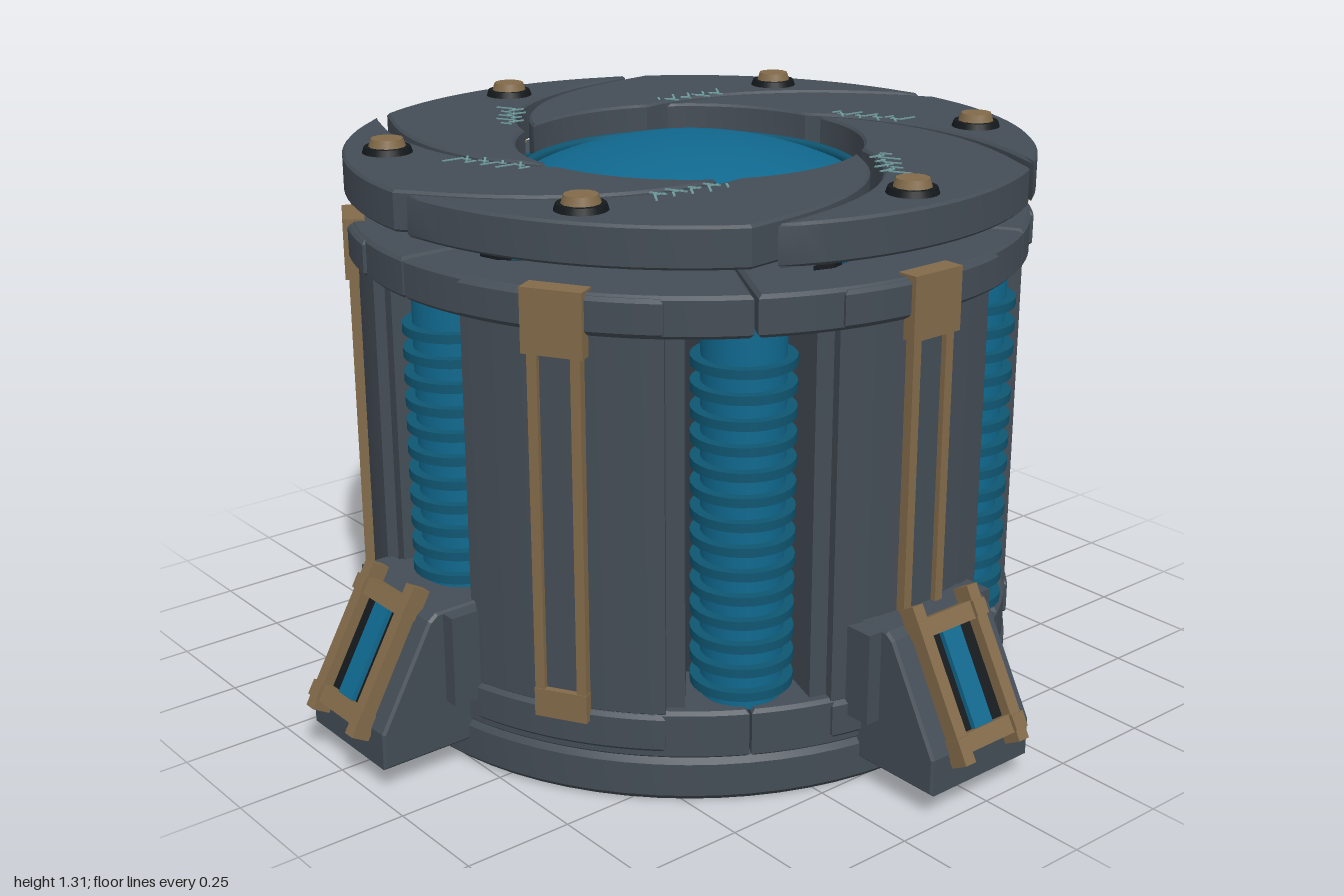
import * as THREE from 'three';
import { toCreasedNormals } from 'three/addons/utils/BufferGeometryUtils.js';

const mat = (name, color, side = THREE.FrontSide) => {
  const m = new THREE.MeshStandardMaterial({ color, side });
  m.name = name;
  return m;
};
const RAD = Math.PI / 180;

export function createModel() {
  const root = new THREE.Group();
  root.name = 'reactorDrum';
  const steel = mat('gunmetal', 0x444d56);
  const darkSteel = mat('dark steel', 0x2f363d);
  const black = mat('near black', 0x14191c);
  const bronze = mat('bronze', 0x826a49);
  const blue = mat('blue glow', 0x10688e);
  const teal = mat('deep teal', 0x0f5672);
  const pale = mat('pale teal', 0x6f9c9e);

  const add = (parent, name, geo, material, x = 0, y = 0, z = 0) => {
    const m = new THREE.Mesh(geo, material);
    m.name = name;
    m.position.set(x, y, z);
    parent.add(m);
    return m;
  };
  const box = (p, name, w, h, d, material, x, y, z) =>
    add(p, name, new THREE.BoxGeometry(w, h, d), material, x, y, z);
  const group = (name, angle) => {
    const g = new THREE.Group();
    g.name = name;
    g.rotation.y = angle * RAD;
    root.add(g);
    return g;
  };

  // Plan outline raised from y0 to y1 with a small chamfer
  const raise = (shape, y0, y1, bevel = 0.008) => {
    const geo = new THREE.ExtrudeGeometry(shape, {
      depth: y1 - y0 - 2 * bevel, curveSegments: 14, bevelEnabled: true,
      bevelThickness: bevel, bevelSize: bevel, bevelOffset: -bevel, bevelSegments: 1,
    });
    geo.rotateX(-Math.PI / 2);
    geo.translate(0, y0 + bevel, 0);
    return toCreasedNormals(geo, 0.4);
  };
  const sector = (r0, r1, a0, a1, y0, y1, bevel) => {
    const s = new THREE.Shape();
    s.absarc(0, 0, r1, a0 * RAD, a1 * RAD, false);
    s.absarc(0, 0, r0, a1 * RAD, a0 * RAD, true);
    s.closePath();
    return raise(s, y0, y1, bevel);
  };

  // Base and inner drum
  const basePts = [[0, 0], [0.76, 0], [0.775, 0.015], [0.775, 0.09], [0.765, 0.105], [0, 0.105]];
  const baseGeo = new THREE.LatheGeometry(basePts.map(p => new THREE.Vector2(...p)), 72);
  add(root, 'base', toCreasedNormals(baseGeo, 0.4), steel);
  add(root, 'innerDrum', new THREE.CylinderGeometry(0.58, 0.58, 1.02, 48), darkSteel, 0, 0.61, 0);
  add(root, 'lidNeck', new THREE.CylinderGeometry(0.43, 0.43, 0.08, 48), black, 0, 1.155, 0);
  add(root, 'neckBand', new THREE.CylinderGeometry(0.434, 0.434, 0.015, 48), teal, 0, 1.168, 0);

  for (let k = 0; k < 6; k++) {
    const a = k * 60;
    // Wall panel, its recessed jambs, and the rings above and below
    add(root, 'wallPanel', sector(0.56, 0.77, a - 16.5, a + 16.5, 0.2, 1.06), steel);
    add(root, 'slotJambs', sector(0.56, 0.745, a - 19.5, a + 19.5, 0.2, 1.06), steel);
    add(root, 'lowerRing', sector(0.5, 0.77, a - 29.8, a + 29.8, 0.1, 0.212), steel);
    add(root, 'lowerRingPad', sector(0.6, 0.778, a - 16.5, a + 16.5, 0.12, 0.205), steel);
    add(root, 'upperRing', sector(0.4, 0.782, a - 29.7, a + 29.7, 1.045, 1.135), steel);
    add(root, 'upperRingPad', sector(0.6, 0.79, a - 16.5, a + 16.5, 1.05, 1.13), steel);

    // Bronze strip on the panel
    const strip = group('bronzeStrip', a + 90);
    box(strip, 'stripTop', 0.136, 0.14, 0.05, bronze, 0, 1.07, 0.773);
    box(strip, 'stripBottom', 0.12, 0.065, 0.05, bronze, 0, 0.215, 0.767);
    box(strip, 'stripInset', 0.075, 0.76, 0.03, steel, 0, 0.62, 0.762);
    for (const s of [-1, 1]) box(strip, 'stripRail', 0.022, 0.76, 0.04, bronze, s * 0.048, 0.62, 0.77);

    // Finned coil in the slot
    const coil = group('coil', a);
    add(coil, 'coilCore', new THREE.CylinderGeometry(0.09, 0.09, 0.85, 28), blue, 0, 0.63, 0.66);
    for (let i = 0; i < 14; i++)
      add(coil, 'coilFin', new THREE.CylinderGeometry(0.112, 0.112, 0.02, 28), teal, 0, 0.245 + i * 0.0555, 0.66);
  }

  // Lid blades separated by spiral gaps
  const R0 = 0.4, R1 = 0.79;
  const swirl = r => (31 + 61 * Math.pow(Math.max(0, (R1 - r) / (R1 - R0)), 1.15)) * RAD;
  const at = (r, t) => new THREE.Vector2(r * Math.cos(t), r * Math.sin(t));
  const N = 12, radii = Array.from({ length: N + 1 }, (_, i) => R0 + (R1 - R0) * i / N);
  const half = r => 0.026 / r;
  const blade = new THREE.Shape();
  const edgeA = r => swirl(r) + half(r), edgeB = r => swirl(r) + 60 * RAD - half(r);
  const pts = radii.map(r => at(r, edgeA(r)));
  for (let i = 1; i < 16; i++) pts.push(at(R1, THREE.MathUtils.lerp(edgeA(R1), edgeB(R1), i / 16)));
  for (const r of [...radii].reverse()) pts.push(at(r, edgeB(r)));
  for (let i = 1; i < 16; i++) pts.push(at(R0, THREE.MathUtils.lerp(edgeB(R0), edgeA(R0), i / 16)));
  blade.setFromPoints(pts);
  const bladeGeo = raise(blade, 1.19, 1.28, 0.006);

  // Short plate that follows part of a spiral gap
  const dash = (ra, rb) => {
    const out = [], w = r => 0.024 / r;
    for (let i = 0; i <= 4; i++) { const r = ra + (rb - ra) * i / 4; out.push(at(r, swirl(r) + w(r))); }
    for (let i = 4; i >= 0; i--) { const r = ra + (rb - ra) * i / 4; out.push(at(r, swirl(r) - w(r))); }
    return raise(new THREE.Shape(out), 1.15, 1.16, 0.001);
  };
  const dashes = [];
  for (let i = 0; i < 5; i++) {
    const r = 0.44 + i * 0.053;
    dashes.push([dash(r, r + 0.026), teal], [dash(r + 0.026, r + 0.04), black]);
  }

  for (let k = 0; k < 6; k++) {
    const sec = group('lidSector', k * 60);
    add(sec, 'lidBlade', bladeGeo, steel);
    dashes.forEach(([g, m]) => add(sec, 'gapVane', g, m));
    // Bolt with washer
    const b = at(0.69, 2 * RAD);
    add(sec, 'boltWasher', new THREE.CylinderGeometry(0.052, 0.058, 0.018, 24), black, b.x, 1.285, -b.y);
    add(sec, 'boltHead', new THREE.CylinderGeometry(0.036, 0.044, 0.024, 12), bronze, b.x, 1.3, -b.y);
    // Fine branching scratches beside the rim
    const marks = new THREE.Group();
    marks.name = 'scratchMarks';
    const c = at(0.5, 20 * RAD);
    marks.position.set(c.x, 1.281, -c.y);
    marks.rotation.y = -35 * RAD;
    sec.add(marks);
    for (let i = 0; i < 9; i++) {
      const x = -0.09 + i * 0.0225, s = i % 2 ? 1 : -1;
      const m = box(marks, 'scratch', 0.005, 0.003, 0.028 + 0.012 * (i % 3), pale, x, 0, s * 0.012);
      m.rotation.y = s * 0.5;
      if (i % 2) box(marks, 'scratchLink', 0.026, 0.003, 0.004, pale, x, 0, s * 0.006);
    }
  }

  // Glowing dome and its rim
  const domeR = 0.892;
  add(root, 'dome', new THREE.SphereGeometry(domeR, 48, 12, 0, Math.PI * 2, 0, 0.44), blue, 0, 1.285 - domeR, 0);
  const rim = add(root, 'domeRim', new THREE.TorusGeometry(0.388, 0.013, 8, 64), teal, 0, 1.205, 0);
  rim.rotation.x = Math.PI / 2;

  // Four wedge feet with framed light bars
  const profile = new THREE.Shape([[0.7, 0.055], [0.978, 0.055], [0.978, 0.14], [0.85, 0.37], [0.83, 0.385], [0.7, 0.385]]
    .map(p => new THREE.Vector2(...p)));
  const footGeo = new THREE.ExtrudeGeometry(profile, {
    depth: 0.288, bevelEnabled: true, bevelThickness: 0.006, bevelSize: 0.006, bevelOffset: -0.006, bevelSegments: 1,
  });
  footGeo.translate(0, 0, -0.144);
  footGeo.rotateY(-Math.PI / 2);
  for (let k = 0; k < 4; k++) {
    const foot = group('foot', k * 90);
    add(foot, 'footWedge', footGeo, steel);
    for (const s of [-1, 1]) box(foot, 'footSidePlate', 0.04, 0.21, 0.08, steel, s * 0.165, 0.275, 0.775);
    const frame = new THREE.Group();
    frame.name = 'lightFrame';
    frame.position.set(0, 0.262, 0.912);
    frame.rotation.x = -29.5 * RAD;
    foot.add(frame);
    box(frame, 'framePanel', 0.15, 0.25, 0.008, black, 0, 0, 0.003);
    box(frame, 'lightBar', 0.054, 0.25, 0.03, blue, 0, 0, 0.004);
    for (const s of [-1, 1]) {
      box(frame, 'frameRail', 0.03, 0.35, 0.045, bronze, s * 0.083, 0.005, 0.011);
      box(frame, 'frameBar', 0.19, 0.04, 0.034, bronze, 0, s * 0.128, 0.012);
      for (const t of [-1, 1]) box(frame, 'frameCorner', 0.035, 0.035, 0.052, bronze, s * 0.084, t * 0.128, 0.012);
    }
  }
  return root;
}
